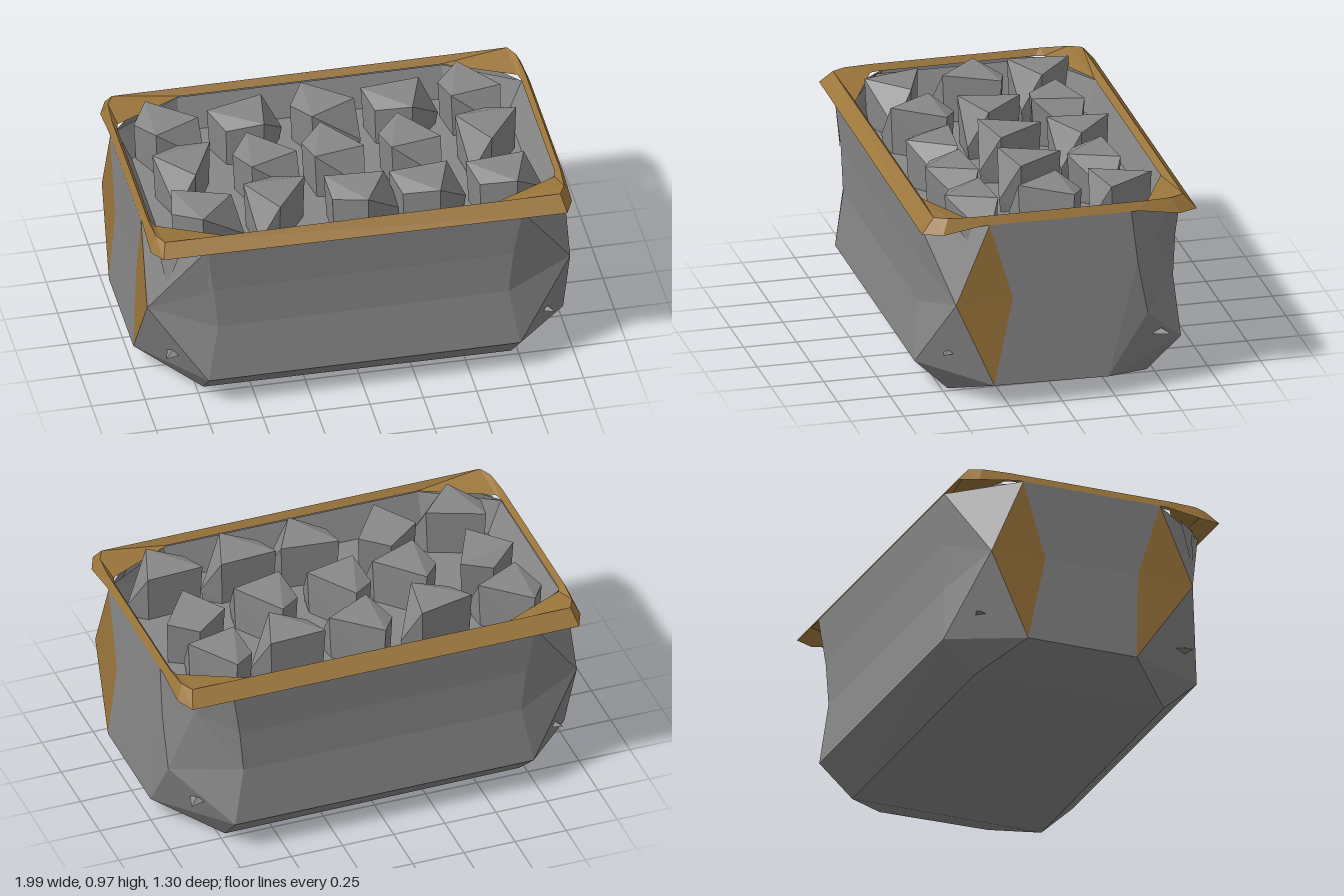
import * as THREE from 'three';
import { ConvexGeometry } from 'three/addons/geometries/ConvexGeometry.js';

const stone = new THREE.MeshStandardMaterial({ color: 0x888888, flatShading: true, side: THREE.DoubleSide });
stone.name = 'grey stone';
const bronze = new THREE.MeshStandardMaterial({ color: 0x9c763c, flatShading: true, side: THREE.DoubleSide });
bronze.name = 'bronze';

// Collects flat faces, each turned outward from the middle of the tub
function faceSet() {
  const pos = [];
  const mid = new THREE.Vector3(0, 0.5, 0);
  const tri = (a, b, c) => {
    const [A, B, C] = [a, b, c].map(p => new THREE.Vector3(...p));
    const n = B.clone().sub(A).cross(C.clone().sub(A));
    const out = A.clone().add(B).add(C).divideScalar(3).sub(mid);
    pos.push(...a, ...(n.dot(out) < 0 ? [...c, ...b] : [...b, ...c]));
  };
  return {
    tri,
    quad(a, b, c, d) { tri(a, b, c); tri(a, c, d); },
    mesh(name, material) {
      const g = new THREE.BufferGeometry();
      g.setAttribute('position', new THREE.Float32BufferAttribute(pos, 3));
      g.computeVertexNormals();
      const m = new THREE.Mesh(g, material);
      m.name = name;
      return m;
    },
  };
}

// Key points of one corner; one back corner is cracked and pushed in
function cornerPoints(sx, sz) {
  const cracked = sx > 0 && sz < 0;
  const footZ = sx < 0 && sz > 0 ? 0.22 : 0.32;
  const at = (x, y, z) => [x * sx, y, z * sz];
  return {
    cracked,
    base: at(0.72, sx > 0 ? 0.005 : 0.015, 0.47),
    long: [at(0.73, 0.16, 0.63), at(0.68, 0.44, 0.605), at(0.7, 0.65, 0.61), at(0.74, 0.89, 0.63)],
    side: cracked
      ? [at(0.99, 0.1, 0.22), at(0.985, 0.65, 0.36), at(0.985, 0.9, 0.33)]
      : [at(0.995, 0.11, footZ), at(0.985, 0.53, 0.23), at(0.985, 0.9, 0.34)],
    point: cracked ? at(0.975, 0.39, 0.41) : at(0.99, 0.52, 0.5),
    dent: at(0.87, 0.72, 0.47),
  };
}

function buildTub(group) {
  const body = faceSet(), inlay = faceSet();
  const corner = {};
  for (const sx of [1, -1]) for (const sz of [1, -1]) {
    const c = corner[[sx, sz]] = cornerPoints(sx, sz);
    const [f0, f1, f2, f3] = c.long, [s0, m, s3] = c.side, p = c.point, k = c.dent;
    body.tri(c.base, f0, s0);
    body.tri(s0, f0, p);
    body.tri(p, f0, f1);
    if (c.cracked) {
      body.tri(p, f1, k); body.tri(k, f1, f2); body.tri(k, f2, f3);
      body.tri(k, f3, s3); body.tri(p, k, m); body.tri(m, k, s3);
      body.tri(s0, p, m);
    } else {
      body.tri(p, f1, f2); body.tri(p, f2, f3); body.tri(p, f3, s3);
      inlay.tri(p, s3, m); inlay.tri(p, m, s0);
    }
  }
  // Long walls, end walls and underside
  for (const s of [1, -1]) {
    const a = corner[[1, s]], b = corner[[-1, s]];
    for (let i = 0; i < 3; i++) body.quad(a.long[i], a.long[i + 1], b.long[i + 1], b.long[i]);
    body.quad(a.base, a.long[0], b.long[0], b.base);
    const e = corner[[s, 1]], f = corner[[s, -1]];
    for (let i = 0; i < 2; i++) body.quad(e.side[i], e.side[i + 1], f.side[i + 1], f.side[i]);
    body.quad(e.base, e.side[0], f.side[0], f.base);
  }
  const [b1, b2, b3, b4] = [[1, 1], [1, -1], [-1, -1], [-1, 1]].map(k => corner[k].base);
  for (const [a, b] of [[b1, b2], [b2, b3], [b3, b4], [b4, b1]]) body.tri(a, b, [0, 0.025, 0]);
  group.add(body.mesh('tubWalls', stone), inlay.mesh('cornerInlays', bronze));
}

// Repeats a quarter of a ring in all four quadrants
function ring(pts, y) {
  const mir = (sx, sz) => pts.map(([x, z]) => [x * sx, y, z * sz]);
  return [...mir(1, 1), ...mir(-1, 1).reverse(), ...mir(-1, -1), ...mir(1, -1).reverse()];
}

// Folded frame: flared outer lip, ridge and inner edge
function buildRim(group) {
  const lip = ring([[0.985, 0.37], [0.985, 0.56], [0.945, 0.65]], 0.87);
  lip.forEach(p => {
    if (Math.abs(p[2]) < 0.4) p[1] = 0.9;
    if (p[0] < 0 && p[2] > 0.6) p[1] = 0.885;
  });
  const ridge = ring([[0.965, 0.4], [0.955, 0.53], [0.925, 0.59]], 0.94);
  const inner = ring([[0.945, 0.37], [0.935, 0.41], [0.61, 0.565]], 0.91);
  const rim = faceSet();
  for (let i = 0; i < 12; i++) {
    const j = (i + 1) % 12;
    rim.quad(lip[i], lip[j], ridge[j], ridge[i]);
    rim.quad(ridge[i], ridge[j], inner[j], inner[i]);
  }
  group.add(rim.mesh('rim', bronze));
}

function buildFilling(group) {
  // Sloping inner walls and the bed below the rocks
  const top = ring([[0.95, 0.38], [0.62, 0.58]], 0.895);
  const low = ring([[0.88, 0.36], [0.62, 0.53]], 0.74);
  const lining = faceSet(), bed = faceSet();
  for (let i = 0; i < 8; i++) {
    const j = (i + 1) % 8;
    lining.quad(top[i], top[j], low[j], low[i]);
    bed.tri(low[i], low[j], [0, 0.74, 0]);
  }
  group.add(lining.mesh('innerWalls', stone), bed.mesh('bed', stone));

  // Rows of flat-topped broken rocks, each with one steep chipped side
  const rock = new ConvexGeometry([
    [-0.08, 0.96, -0.15], [-0.16, 0.93, -0.02], [-0.09, 0.97, 0.14], [0.13, 0.965, 0.03], [0.14, 0.8, 0.13],
    [-0.07, 0.73, -0.14], [-0.15, 0.73, -0.02], [-0.08, 0.73, 0.13], [0.12, 0.73, 0.03], [0.13, 0.73, 0.12],
  ].map(p => new THREE.Vector3(...p)));
  const rows = [
    { z: -0.34, x: [-0.71, -0.36, 0.02, 0.36, 0.71], turn: [0, 55, 0, 45, -15] },
    { z: 0, x: [-0.69, -0.32, 0, 0.36, 0.72], turn: [-75, -5, -15, -15, -85] },
    { z: 0.33, x: [-0.69, -0.34, 0.04, 0.35, 0.71], turn: [20, -85, 35, 45, 45] },
  ];
  for (const row of rows) row.x.forEach((x, i) => {
    const m = new THREE.Mesh(rock, stone);
    m.position.set(x, 0, row.z);
    m.rotation.y = THREE.MathUtils.degToRad(row.turn[i]);
    m.name = 'rock';
    group.add(m);
  });
}

// Splinters low on every corner, and a few hanging under the rim in front
function buildSplinters(group) {
  const low = new THREE.ConeGeometry(0.055, 0.02, 3);
  for (const sx of [1, -1]) for (const sz of [1, -1]) {
    const b = new THREE.Mesh(low, stone);
    b.position.set(0.87 * sx, 0.255, 0.5 * sz);
    b.rotation.y = Math.atan2(sx, sz);
    b.name = 'wallSplinter';
    group.add(b);
  }
  const hanging = faceSet();
  hanging.tri([0.95, 0.89, 0.36], [0.9, 0.89, 0.49], [0.94, 0.81, 0.43]);
  hanging.tri([-0.94, 0.87, 0.46], [-0.84, 0.87, 0.56], [-0.905, 0.65, 0.535]);
  hanging.tri([-0.86, 0.87, 0.55], [-0.73, 0.87, 0.63], [-0.71, 0.65, 0.612]);
  group.add(hanging.mesh('rimSplinters', stone));
}

export function createModel() {
  const group = new THREE.Group();
  group.name = 'rockTrough';
  buildTub(group);
  buildRim(group);
  buildFilling(group);
  buildSplinters(group);
  return group;
}
